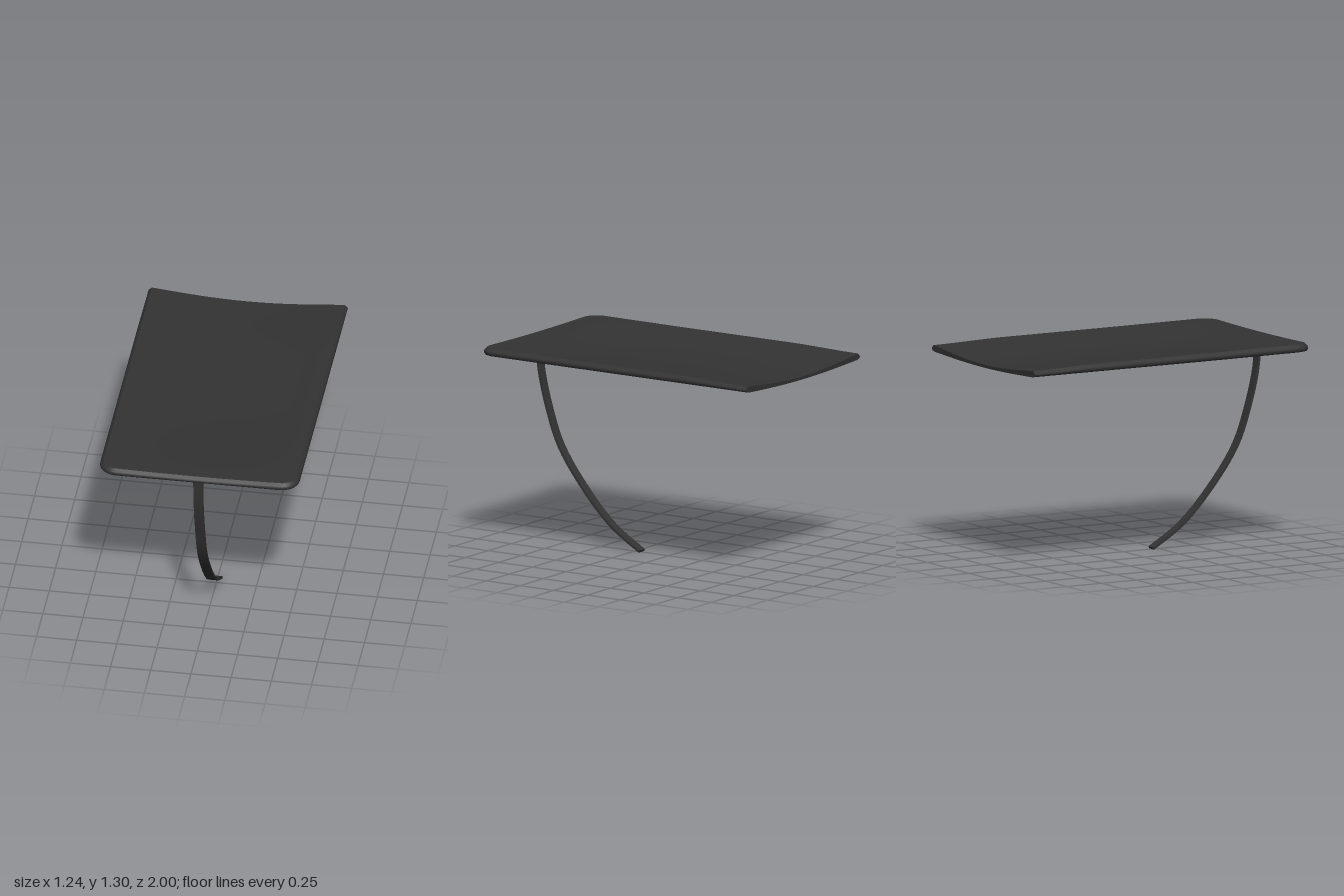
import * as THREE from 'three';
import { toCreasedNormals } from 'three/addons/utils/BufferGeometryUtils.js';

const HALF = 0.62, CORNER = 0.11;

// Half of the plan outline, back to front centre: position plus outward normal.
function halfOutline() {
  const pts = [];
  for (let i = 0; i < 28; i++) pts.push([HALF, -1 + (2 - CORNER) * i / 28, 1, 0]);
  for (let i = 0; i <= 8; i++) {
    const a = Math.PI / 2 * i / 8, c = Math.cos(a), s = Math.sin(a);
    pts.push([HALF - CORNER + CORNER * c, 1 - CORNER + CORNER * s, c, s]);
  }
  for (let i = 1; i <= 10; i++) pts.push([(HALF - CORNER) * (1 - i / 10), 1, 0, 1]);
  return pts;
}

// Edge section from top to bottom: inset and height.
const EDGE = [[0.03, 1.303], [0.02, 1.302], [0.013, 1.293], [0.004, 1.287],
  [0, 1.278], [0, 1.266], [0.007, 1.257], [0.03, 1.252]];
const ACROSS = 16;

function slabGeometry() {
  const outline = halfOutline();

  // Surface sags along the middle, more towards the back.
  const place = (x, y, z) => {
    const back = THREE.MathUtils.smoothstep(1 - z, 0, 0.8);
    const top = y > 1.272;
    const bowl = Math.cos(Math.PI * x / (2 * HALF));
    const sag = bowl * (top ? 0.008 + 0.034 * back : 0.02 * back);
    const drop = top ? 0.01 * THREE.MathUtils.smoothstep(-z, 0.5, 1) : 0;
    return [x, y - sag - drop, z];
  };

  // One closed section: top left to right, right edge, bottom, left edge.
  const section = ([x, z, nx, nz]) => {
    const at = (side, [inset, y]) => place(side * Math.max(0, x - nx * inset), y, z - nz * inset);
    const span = (from, [inset, y]) => {
      const w = Math.max(0, x - nx * inset), row = [];
      for (let i = 1; i < ACROSS; i++) row.push(place(from * w * (1 - 2 * i / ACROSS), y, z - nz * inset));
      return row;
    };
    return [
      ...span(-1, EDGE[0]),
      ...EDGE.map(e => at(1, e)),
      ...span(1, EDGE[EDGE.length - 1]),
      ...[...EDGE].reverse().map(e => at(-1, e)),
    ];
  };

  const rows = outline.map(section), n = rows[0].length;
  const index = [];
  for (let r = 0; r < rows.length - 1; r++) {
    for (let c = 0; c < n; c++) {
      const a = r * n + c, b = r * n + (c + 1) % n;
      index.push(a, a + n, b, b, a + n, b + n);
    }
  }

  // Flat back end, filled in strips between the two sides of the section.
  const first = ACROSS - 2;
  for (let k = 0; k < n / 2 - 1; k++) {
    // Pair points mirrored about the horizontal middle of the section.
    const mid = first + EDGE.length / 2;
    const up = j => (mid - j + n) % n, down = j => (mid + 1 + j) % n;
    index.push(up(k), down(k), down(k + 1), up(k), down(k + 1), up(k + 1));
  }

  const g = new THREE.BufferGeometry();
  g.setAttribute('position', new THREE.Float32BufferAttribute(rows.flat(2), 3));
  g.setIndex(index);
  return toCreasedNormals(g, 0.7);
}

// Thin curved strip, drawn in the side plane and extruded to its width.
function stripGeometry() {
  const curve = new THREE.CatmullRomCurve3([[0.965, 1.265], [0.945, 1.06], [0.89, 0.84], [0.8, 0.605],
    [0.61, 0.345], [0.41, 0.145], [0.2, 0.012]].map(([z, y]) => new THREE.Vector3(z, y, 0)));
  const outer = [], inner = [], t = 0.008, steps = 32, width = 0.06;
  for (let i = 0; i <= steps; i++) {
    const p = curve.getPoint(i / steps), d = curve.getTangent(i / steps);
    outer.push(new THREE.Vector2(p.x - d.y * t, p.y + d.x * t));
    inner.unshift(new THREE.Vector2(p.x + d.y * t, p.y - d.x * t));
  }
  const g = new THREE.ExtrudeGeometry(new THREE.Shape([...outer, ...inner]), { depth: width, bevelEnabled: false });
  g.translate(0, 0, -width / 2);
  g.rotateY(-Math.PI / 2);
  return toCreasedNormals(g, 0.6);
}

export function createModel() {
  const model = new THREE.Group();
  const dark = new THREE.MeshStandardMaterial({ color: 0x333333, side: THREE.DoubleSide });
  const add = (name, geometry) => {
    const mesh = new THREE.Mesh(geometry, dark);
    mesh.name = name;
    model.add(mesh);
  };
  add('saggingPanel', slabGeometry());
  add('curvedSupportStrip', stripGeometry());
  return model;
}
